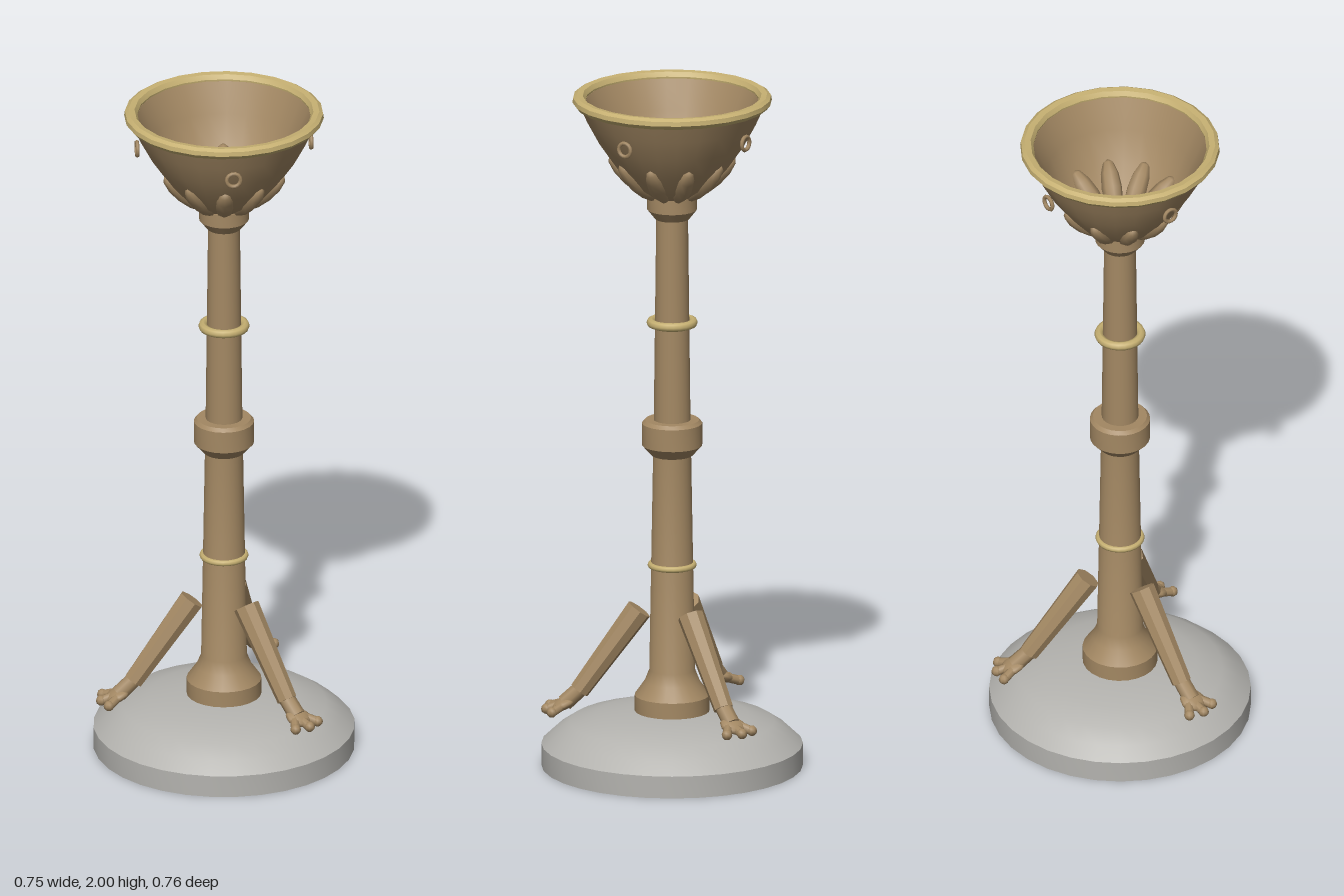
import * as THREE from 'three';
import { toCreasedNormals } from 'three/addons/utils/BufferGeometryUtils.js';

const mat = (name, color) => {
  const m = new THREE.MeshStandardMaterial({ color });
  m.name = name;
  return m;
};

export function createModel() {
  const bronze = mat('bronze brown', 0xa38863);
  const gold = mat('pale gold', 0xc6b072);
  const stone = mat('stone grey', 0xb4b3af);

  const root = new THREE.Group();
  root.name = 'pedestalBowl';

  const add = (parent, name, geo, material) => {
    const mesh = new THREE.Mesh(geo, material);
    mesh.name = name;
    parent.add(mesh);
    return mesh;
  };
  // Turned part from [radius, height] pairs, with sharp edges kept
  const turned = (name, pts, segments, material) =>
    add(root, name, toCreasedNormals(
      new THREE.LatheGeometry(pts.map(([r, y]) => new THREE.Vector2(r, y)), segments), 0.5), material);
  // Turn a mesh so its own y axis runs from a to b, centred between them
  const span = (mesh, a, b) => {
    mesh.position.copy(a).add(b).multiplyScalar(0.5);
    mesh.quaternion.setFromUnitVectors(new THREE.Vector3(0, 1, 0), b.clone().sub(a).normalize());
    return mesh;
  };
  const V = (x, y, z) => new THREE.Vector3(x, y, z);

  // Stone foot
  turned('base', [[0, 0], [0.377, 0], [0.377, 0.065], [0.34, 0.1], [0.295, 0.13],
    [0.22, 0.15], [0.13, 0.163], [0, 0.163]], 32, stone);

  // Column with flared foot, middle collar and capital
  turned('column', [[0, 0.15], [0.108, 0.15], [0.108, 0.21], [0.08, 0.25], [0.066, 0.285],
    [0.055, 0.925], [0.06, 0.925], [0.087, 0.955], [0.087, 1.02], [0.078, 1.03], [0.053, 1.03],
    [0.046, 1.63], [0.05, 1.63], [0.072, 1.658], [0.072, 1.7], [0, 1.7]], 24, bronze);

  // Gold bands round the column
  for (const [name, y, radius, tube] of [['lowerBand', 0.597, 0.062, 0.009], ['upperBand', 1.32, 0.061, 0.013]]) {
    const band = add(root, name, new THREE.TorusGeometry(radius, tube, 8, 24), gold);
    band.rotation.x = Math.PI / 2;
    band.position.y = y;
  }

  // Hollow bowl: up the outside, down the inside
  turned('bowl', [[0, 1.69], [0.06, 1.695], [0.115, 1.73], [0.165, 1.79], [0.21, 1.855],
    [0.245, 1.92], [0.272, 1.98], [0.25, 1.98], [0.21, 1.895], [0.17, 1.8],
    [0.12, 1.745], [0.06, 1.712], [0, 1.705]], 24, bronze);

  // Gold rim
  turned('rim', [[0.252, 1.965], [0.278, 1.968], [0.288, 1.98], [0.286, 1.993], [0.275, 2],
    [0.258, 1.998], [0.25, 1.985], [0.252, 1.965]], 24, gold);

  // Ring of petals under the bowl, poking through the wall
  const petalGeo = new THREE.SphereGeometry(1, 8, 6).scale(0.03, 0.088, 0.03);
  for (let i = 0; i < 10; i++) {
    const petal = new THREE.Group();
    petal.name = 'petal';
    petal.rotation.y = i * Math.PI / 5;
    span(add(petal, 'petalLeaf', petalGeo, bronze), V(0.053, 1.695, 0), V(0.182, 1.815, 0));
    root.add(petal);
  }

  // Four small hanging rings on the bowl
  for (let i = 0; i < 4; i++) {
    const holder = new THREE.Group();
    holder.name = 'bowlRing';
    holder.rotation.y = 0.41 + i * Math.PI / 2;
    add(holder, 'ringLoop', new THREE.TorusGeometry(0.02, 0.006, 6, 14), bronze).position.set(0, 1.89, 0.252);
    root.add(holder);
  }

  // Three legs with paws, built facing +z then turned into place
  for (const [name, angle] of [['leftLeg', Math.PI / 3], ['rightLeg', -Math.PI / 3], ['backLeg', Math.PI]]) {
    const leg = new THREE.Group();
    leg.name = name;
    leg.rotation.y = angle;

    const shank = new THREE.CylinderGeometry(0.029, 0.038, 0.295, 8);
    span(add(leg, 'shank', toCreasedNormals(shank, 0.5), bronze), V(0, 0.465, 0.095), V(0, 0.227, 0.267));

    const ankle = new THREE.CylinderGeometry(0.025, 0.024, 0.075, 8);
    span(add(leg, 'ankle', ankle, bronze), V(0, 0.24, 0.255), V(0, 0.19, 0.31));

    const palm = add(leg, 'palm', new THREE.SphereGeometry(1, 10, 8), bronze);
    palm.scale.set(0.038, 0.017, 0.038);
    palm.position.set(0, 0.187, 0.315);
    palm.rotation.x = 0.4;

    for (const side of [-1, 0, 1]) {
      const from = V(side * 0.016, 0.187, 0.315);
      const to = V(side * 0.043, 0.172, side ? 0.35 : 0.363);
      const toe = new THREE.CapsuleGeometry(0.0135, from.distanceTo(to), 4, 8);
      span(add(leg, 'toe', toe, bronze), from, to);
      // Rounded knuckle at the toe tip
      add(leg, 'toeTip', new THREE.SphereGeometry(0.0155, 8, 6), bronze).position.copy(to).setY(0.173);
    }
    root.add(leg);
  }

  return root;
}
